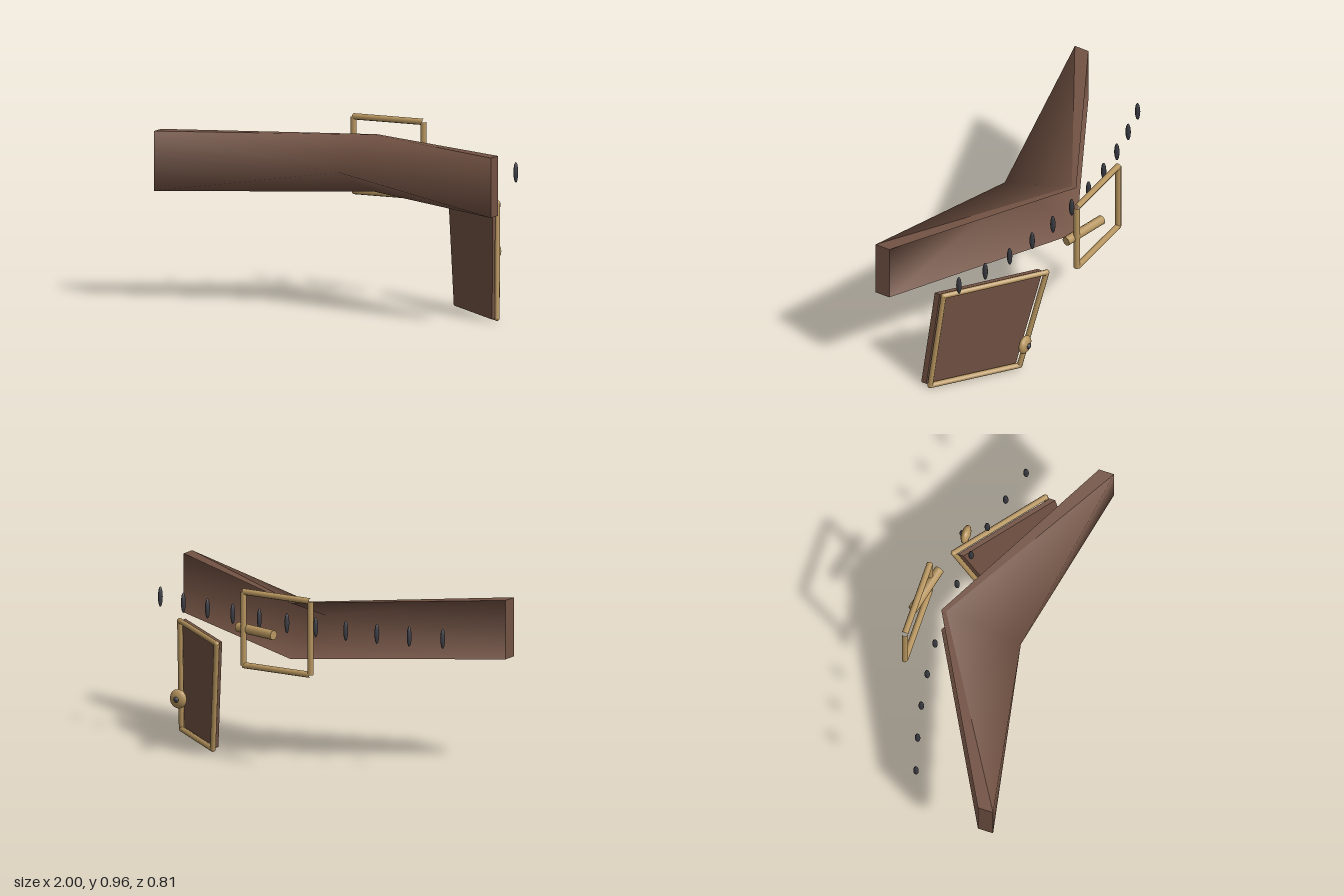
import * as THREE from 'three';

const mat = (name, color) => {
  const m = new THREE.MeshStandardMaterial({ color });
  m.name = name;
  return m;
};
const V = (x, y, z) => new THREE.Vector3(x, y, z);

// Smooth fan of triangles from a hub around a counter-clockwise rim
function fan(hub, rim, closed = true) {
  const g = new THREE.BufferGeometry().setFromPoints([hub, ...rim]);
  const index = [];
  const n = rim.length;
  for (let i = 0; i < (closed ? n : n - 1); i++) index.push(0, i + 1, (i + 1) % n + 1);
  g.setIndex(index);
  g.computeVertexNormals();
  return g;
}

export function createModel() {
  const model = new THREE.Group();
  model.name = 'model';
  const brown = mat('brown leather', 0x735344);
  const tan = mat('tan wood', 0xb8965f);
  const dark = mat('dark iron', 0x3b3c43);

  const add = (name, geometry, material, parent = model) => {
    const mesh = new THREE.Mesh(geometry, material);
    mesh.name = name;
    parent.add(mesh);
    return mesh;
  };
  const group = (name) => {
    const g = new THREE.Group();
    g.name = name;
    model.add(g);
    return g;
  };
  // Round bar between two points
  const bar = (name, a, b, r, parent, open = false) => {
    const mesh = add(name, new THREE.CylinderGeometry(r, r, a.distanceTo(b), 8, 1, open), tan, parent);
    mesh.position.copy(a).add(b).multiplyScalar(0.5);
    mesh.quaternion.setFromUnitVectors(V(0, 1, 0), b.clone().sub(a).normalize());
    return mesh;
  };
  const ball = (name, material, parent, p, sx, sy, sz) => {
    const mesh = add(name, new THREE.SphereGeometry(1, 12, 8), material, parent);
    mesh.position.copy(p);
    mesh.scale.set(sx, sy, sz);
    return mesh;
  };

  // Swept body: flat ends running into a V-shaped middle
  const body = group('sweptBody');
  // Rim seen from the front: left top, middle top, right top, right bottom, middle bottom, left bottom
  const rim = (zMid, zTip) => [
    V(1, 0.916, zTip), V(0, 0.885, zMid), V(-1, 0.916, zTip),
    V(-1, 0.597, zTip), V(0, 0.582, zMid), V(1, 0.597, zTip),
  ];
  const front = rim(-0.195, 0.402), back = rim(-0.222, 0.318);
  add('frontSkin', fan(V(0, 0.742, 0.22), front), brown, body);
  add('backSkin', fan(V(0, 0.745, 0.132), [...back].reverse()), brown, body);
  ['leftTopEdge', 'rightTopEdge', 'rightCap', 'rightBottomEdge', 'leftBottomEdge', 'leftCap'].forEach((name, i) => {
    const j = (i + 1) % 6;
    add(name, fan(front[j], [front[i], back[i], back[j]], false), brown, body);
  });

  // Slanted door: slab with a frame of bars behind it
  const door = group('door');
  const topBack = V(0.413, 0.625, -0.293), bottomBack = V(0.505, 0.022, -0.183);
  const bottomFront = V(0.895, 0.018, 0.13), topFront = V(0.865, 0.62, 0.065);
  const corners = [topBack, bottomBack, bottomFront, topFront];
  corners.forEach((c, i) => {
    bar('doorFrameBar', c, corners[(i + 1) % 4], 0.015, door);
    ball('doorFrameJoint', tan, door, c, 0.015, 0.015, 0.015);
  });
  const slab = new THREE.BoxGeometry(1, 1, 1);
  const p = slab.attributes.position;
  for (let i = 0; i < p.count; i++) {
    const u = p.getX(i) + 0.5, v = p.getY(i) + 0.5;
    const low = bottomBack.clone().lerp(bottomFront, u);
    const q = low.lerp(topBack.clone().lerp(topFront, u), v);
    p.setXYZ(i, q.x, q.y, q.z + (p.getZ(i) > 0 ? 0.055 : 0.024));
  }
  slab.computeVertexNormals();
  add('doorPanel', slab, brown, door);

  // Door knob with a dark bead
  const knob = group('doorKnob');
  ball('knob', tan, knob, V(0.645, 0.3, -0.302), 0.052, 0.052, 0.025);
  ball('knobBead', dark, knob, V(0.645, 0.3, -0.322), 0.016, 0.016, 0.016);

  // Square frame of open tubes at the back
  const frame = group('squareFrame');
  for (const s of [-1, 1]) {
    const y = 0.748 + s * 0.199;
    bar('frameRail', V(-0.208, y, -0.354), V(0.208, y, -0.354), 0.017, frame, true);
    bar('framePost', V(s * 0.208, 0.549, -0.354), V(s * 0.208, 0.947, -0.354), 0.017, frame, true);
  }

  // Short slanted rod
  bar('slantedRod', V(0.003, 0.742, -0.382), V(0.262, 0.742, -0.32), 0.026, model);

  // Row of dark studs on a shallow arc
  const studs = group('studs');
  for (let i = 0; i < 11; i++) {
    const x = -0.855 + i * 0.1765;
    ball('stud', dark, studs, V(x, 0.77, -0.211 + 0.186 * x * x), 0.012, 0.055, 0.015);
  }
  return model;
}
